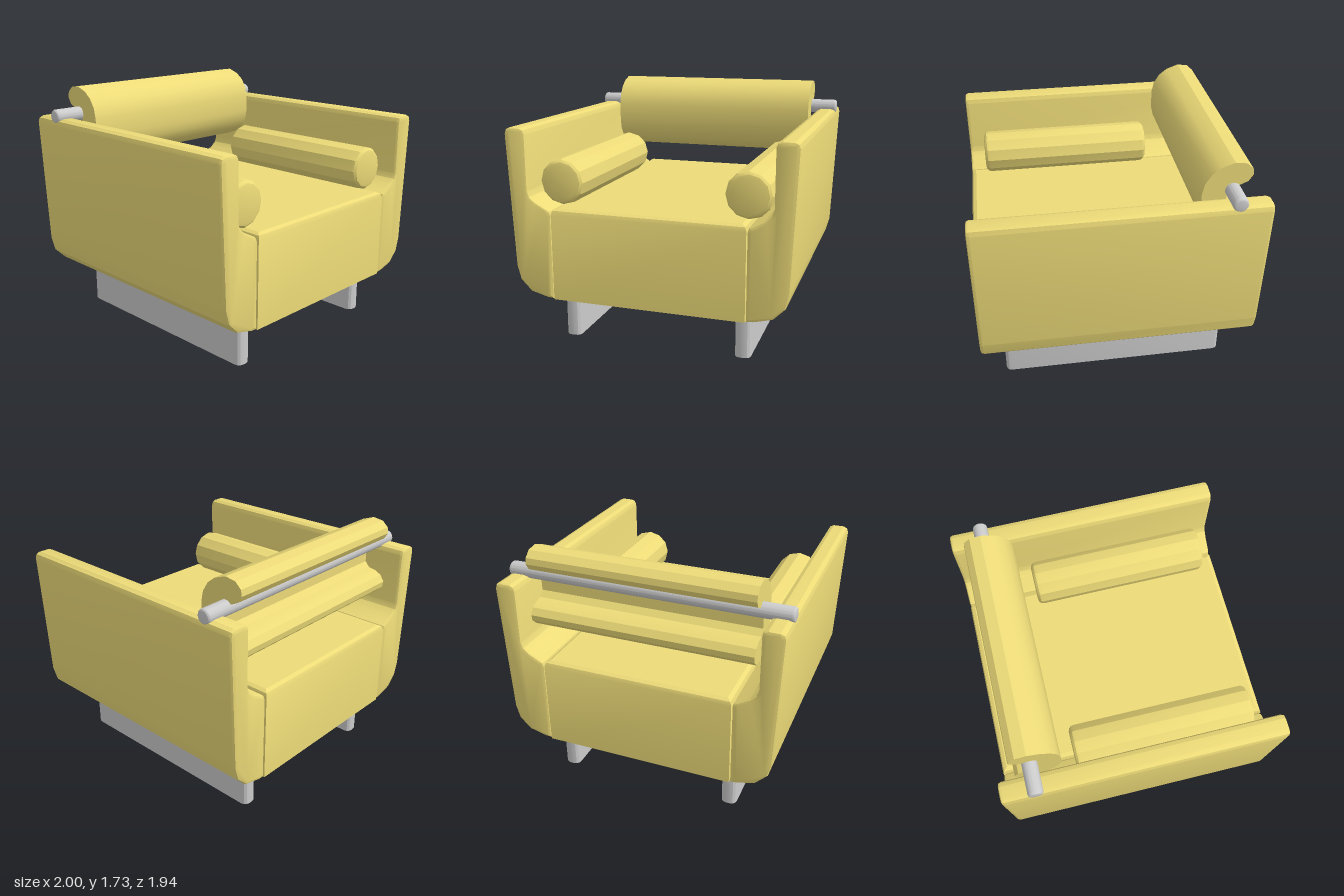
import * as THREE from 'three';
import { toCreasedNormals } from 'three/addons/utils/BufferGeometryUtils.js';

const fabric = new THREE.MeshStandardMaterial({ color: 0xeddb78 });
const metal = new THREE.MeshStandardMaterial({ color: 0xcccccc });

function part(name, geometry, material) {
  const mesh = new THREE.Mesh(toCreasedNormals(geometry, 0.4), material);
  mesh.name = name;
  return mesh;
}

const shapeOf = (points) => new THREE.Shape(points.map(([x, y]) => new THREE.Vector2(x, y)));

// Extrusion centred on z, with its outline kept and its end edges rounded
function extrude(points, length, bevel = 0) {
  const geometry = new THREE.ExtrudeGeometry(shapeOf(points), {
    depth: length - 2 * bevel,
    bevelEnabled: bevel > 0,
    bevelThickness: bevel,
    bevelSize: bevel,
    bevelOffset: -bevel,
    bevelSegments: 2,
  });
  return geometry.translate(0, 0, -length / 2 + bevel);
}

// Solid of revolution about y with rounded ends
function roll(radius, length, round, sides) {
  const h = length / 2;
  const profile = [new THREE.Vector2(0, -h)];
  for (const end of [-1, 1]) {
    for (let i = 0; i <= 3; i++) {
      const a = (end < 0 ? i : 3 - i) / 3 * Math.PI / 2;
      profile.push(new THREE.Vector2(
        radius - round + round * Math.sin(a),
        end * (h - round + round * Math.cos(a))));
    }
  }
  profile.push(new THREE.Vector2(0, h));
  return new THREE.LatheGeometry(profile, sides);
}

// Block made of stacked rectangles [y, inset], softened along the top edges
function seatGeometry(w, d, levels) {
  const pos = [], index = [];
  for (const [y, s] of levels) {
    pos.push(-w + s, y, d - s, w - s, y, d - s, w - s, y, -d + s, -w + s, y, -d + s);
  }
  for (let l = 0; l < levels.length - 1; l++) {
    for (let i = 0; i < 4; i++) {
      const a = l * 4 + i, b = l * 4 + (i + 1) % 4;
      index.push(a, b, b + 4, a, b + 4, a + 4);
    }
  }
  const t = (levels.length - 1) * 4;
  index.push(0, 2, 1, 0, 3, 2, t, t + 1, t + 2, t, t + 2, t + 3);
  const geometry = new THREE.BufferGeometry();
  geometry.setAttribute('position', new THREE.Float32BufferAttribute(pos, 3));
  geometry.setIndex(index);
  geometry.computeVertexNormals();
  return geometry;
}

export function createModel() {
  const chair = new THREE.Group();
  chair.name = 'armchair';

  // Seat block
  chair.add(part('seat', seatGeometry(0.675, 0.968,
    [[0.325, 0], [0.93, 0], [0.957, 0.01], [0.97, 0.035]]), fabric));

  // Arm cross-section, from the bottom seam round the outside to the inner ledge
  const armProfile = [
    [0.678, 0.325], [0.725, 0.327], [0.853, 0.36], [0.933, 0.44], [0.96, 0.54],
    [1.0, 1.465], [0.99, 1.495], [0.96, 1.508], [0.885, 1.508], [0.857, 1.495],
    [0.845, 1.465], [0.845, 1.08], [0.83, 1.04], [0.79, 1.005], [0.71, 0.963],
    [0.688, 0.95], [0.678, 0.92],
  ];

  // Sled leg plan: a narrow bar with rounded ends
  const legPlan = [];
  for (let i = 0; i < 4; i++) {
    for (let j = 0; j <= 3; j++) {
      const a = (i + j / 3) * Math.PI / 2;
      const sx = i === 0 || i === 3 ? 1 : -1, sz = i < 2 ? 1 : -1;
      legPlan.push([sx * 0.015 + 0.04 * Math.cos(a), sz * 0.768 + 0.04 * Math.sin(a)]);
    }
  }

  for (const [side, s] of [['left', 1], ['right', -1]]) {
    chair.add(part(side + 'Arm',
      extrude(armProfile.map(([x, y]) => [s * x, y]), 1.936, 0.022), fabric));

    // Bolster lying along the arm
    const bolster = part(side + 'Bolster', roll(0.16, 1.29, 0.04, 12).rotateX(Math.PI / 2), fabric);
    bolster.position.set(s * 0.655, 1.128, 0.2);
    chair.add(bolster);

    const leg = part(side + 'Leg', extrude(legPlan, 0.34).rotateX(Math.PI / 2), metal);
    leg.position.set(s * 0.622, 0.17, 0);
    chair.add(leg);
  }

  // Back cushion: a C-shaped section [z, y], open to the rear, mirrored about its middle
  const middle = 1.442;
  const upper = [
    [-0.535, 1.507], [-0.55, 1.58], [-0.592, 1.647], [-0.65, 1.693], [-0.738, 1.725],
    [-0.815, 1.714], [-0.86, 1.673], [-0.867, 1.63], [-0.838, 1.584], [-0.79, 1.56],
    [-0.735, 1.55], [-0.7, 1.51],
  ];
  const lower = upper.map(([z, y]) => [z, 2 * middle - y]).reverse();
  const back = part('backCushion',
    extrude([...upper, ...lower], 1.587).rotateY(-Math.PI / 2), fabric);
  back.position.x = 0.01;
  chair.add(back);

  // Bar resting on the arms and carrying the back cushion
  const bar = part('backBar', roll(0.052, 2, 0.02, 16).rotateZ(Math.PI / 2), metal);
  bar.position.set(0, 1.526, -0.738);
  chair.add(bar);

  return chair;
}
